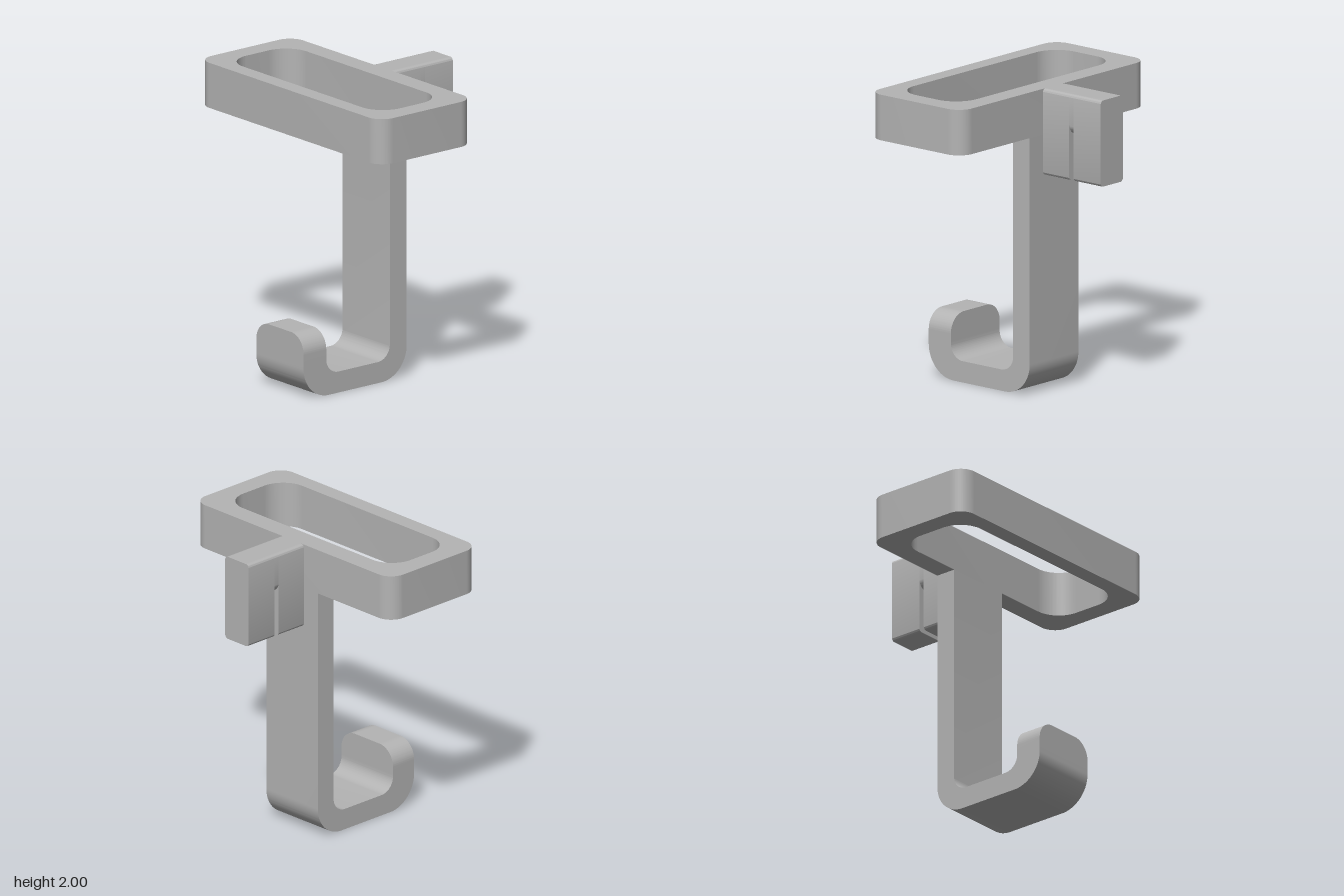
import * as THREE from 'three';
import { toCreasedNormals } from 'three/addons/utils/BufferGeometryUtils.js';

// Rectangle path whose bottom and top corners have their own radii
function roundRect(path, x0, y0, x1, y1, rBottom, rTop) {
  path.moveTo(x0 + rBottom, y0);
  path.lineTo(x1 - rBottom, y0);
  if (rBottom) path.absarc(x1 - rBottom, y0 + rBottom, rBottom, -Math.PI / 2, 0, false);
  path.lineTo(x1, y1 - rTop);
  if (rTop) path.absarc(x1 - rTop, y1 - rTop, rTop, 0, Math.PI / 2, false);
  path.lineTo(x0 + rTop, y1);
  if (rTop) path.absarc(x0 + rTop, y1 - rTop, rTop, Math.PI / 2, Math.PI, false);
  path.lineTo(x0, y0 + rBottom);
  if (rBottom) path.absarc(x0 + rBottom, y0 + rBottom, rBottom, Math.PI, Math.PI * 1.5, false);
  return path;
}

function extrude(shape, depth) {
  return new THREE.ExtrudeGeometry(shape, { depth, bevelEnabled: false, curveSegments: 16 });
}

export function createModel() {
  const group = new THREE.Group();
  const grey = new THREE.MeshStandardMaterial({ color: 0xb4b4b4 });
  grey.name = 'grey';

  const add = (name, geometry) => {
    const mesh = new THREE.Mesh(toCreasedNormals(geometry, 0.5), grey);
    mesh.name = name;
    group.add(mesh);
  };

  // Rounded rectangular ring, drawn in x and z
  const ring = roundRect(new THREE.Shape(), -0.905, -0.183, 0.905, 0.598, 0.11, 0.11);
  ring.holes.push(roundRect(new THREE.Path(), -0.765, -0.043, 0.765, 0.485, 0.17, 0.17));
  add('ring', extrude(ring, 0.3).rotateX(Math.PI / 2).translate(0, 2, 0));

  // Stem and J-shaped hook, drawn in z and y
  const hook = new THREE.Shape();
  hook.moveTo(-0.183, 1.7);
  hook.lineTo(-0.183, 0.21);
  hook.absarc(0.027, 0.21, 0.21, Math.PI, Math.PI * 1.5, false);
  hook.lineTo(0.463, 0);
  hook.absarc(0.463, 0.21, 0.21, -Math.PI / 2, 0, false);
  hook.lineTo(0.673, 0.25);
  hook.lineTo(0.485, 0.25);
  hook.lineTo(0.485, 0.24);
  hook.absarc(0.385, 0.24, 0.1, 0, -Math.PI / 2, true);
  hook.lineTo(0.057, 0.14);
  hook.absarc(0.057, 0.24, 0.1, -Math.PI / 2, -Math.PI, true);
  hook.lineTo(-0.043, 1.7);
  add('hook', extrude(hook, 0.472).rotateY(-Math.PI / 2).translate(0.236, 0, 0));

  // Hook tip with rounded upper corners
  const tip = roundRect(new THREE.Shape(), -0.236, 0.25, 0.236, 0.43, 0, 0.125);
  add('hookTip', extrude(tip, 0.188).translate(0, 0, 0.485));

  // Rear clip: two blocks either side of a narrow slot
  const w = 0.108;
  const clip = roundRect(new THREE.Shape(), -w, 1.433, w, 2, 0.025, 0.025);
  add('clipInner', extrude(clip, 0.225).translate(0, 0, -0.406));
  add('clipOuter', extrude(clip, 0.23).translate(0, 0, -0.673));

  // Bridge above the slot, with a rounded underside
  const bridge = new THREE.Shape();
  bridge.moveTo(-w, 1.8);
  bridge.absellipse(0, 1.8, w, 0.08, Math.PI, Math.PI * 2, false);
  bridge.lineTo(w, 1.975);
  bridge.absarc(w - 0.025, 1.975, 0.025, 0, Math.PI / 2, false);
  bridge.lineTo(-w + 0.025, 2);
  bridge.absarc(-w + 0.025, 1.975, 0.025, Math.PI / 2, Math.PI, false);
  add('clipBridge', extrude(bridge, 0.037).translate(0, 0, -0.443));

  return group;
}
